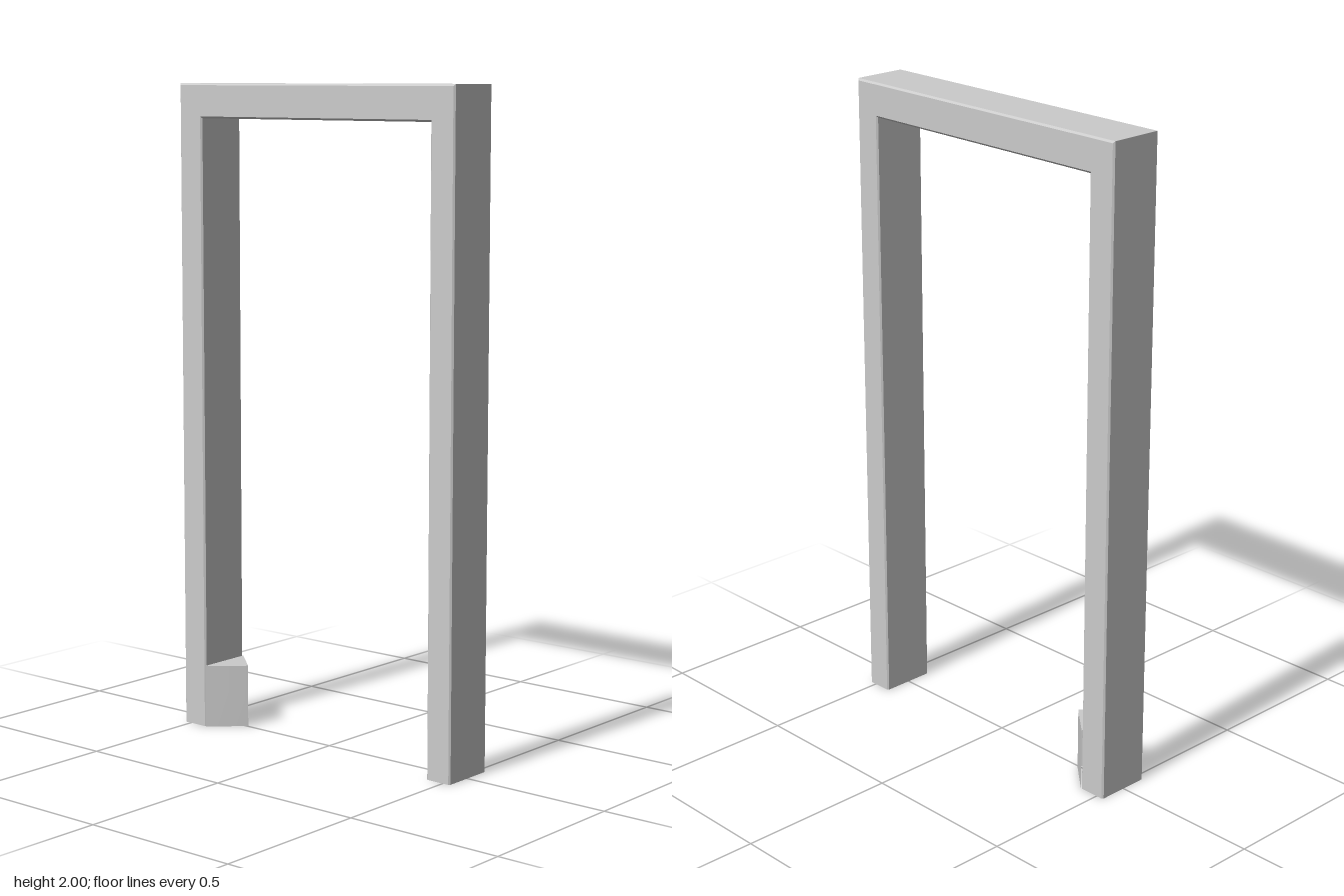
import * as THREE from 'three';
import { toCreasedNormals } from 'three/addons/utils/BufferGeometryUtils.js';

const material = new THREE.MeshStandardMaterial({ color: 0xcccccc, side: THREE.DoubleSide });

// Skins a list of equal-length cross-sections; the ends stay open.
function loft(name, rings, closed, crease) {
  const positions = [];
  const count = rings[0].length;
  for (let s = 0; s < rings.length - 1; s++) {
    for (let i = 0; i < (closed ? count : count - 1); i++) {
      const j = (i + 1) % count;
      const a = rings[s][i], b = rings[s][j], c = rings[s + 1][j], d = rings[s + 1][i];
      positions.push(...a, ...b, ...c);
      if (c.some((v, k) => v !== d[k])) positions.push(...a, ...c, ...d);
    }
  }
  const geometry = new THREE.BufferGeometry();
  geometry.setAttribute('position', new THREE.Float32BufferAttribute(positions, 3));
  const mesh = new THREE.Mesh(toCreasedNormals(geometry, crease), material);
  mesh.name = name;
  return mesh;
}

export function createModel() {
  const group = new THREE.Group();
  group.name = 'doorFrame';
  const back = -0.09, front = 0.085, bevel = 0.005;

  // Hollow post-beam-post casing, mitred at the top corners: [outer x, outer y, inner x, inner y]
  const stations = [
    [-0.525, 0, -0.435, 0],
    [-0.525, 2, -0.435, 1.895],
    [0.525, 2, 0.44, 1.895],
    [0.525, 0, 0.44, 0],
  ];
  // Bevelled section: [fraction from outer to inner, z]
  const t = 0.055;
  const section = [
    [0, back + bevel], [0, front - bevel], [t, front], [1 - t, front],
    [1, front - bevel], [1, back + bevel], [1 - t, back], [t, back],
  ];
  const frameRings = stations.map(([ox, oy, ix, iy]) =>
    section.map(([u, z]) => [ox + (ix - ox) * u, oy + (iy - oy) * u, z]));
  group.add(loft('frame', frameRings, true, 0.4));

  // Wedge-shaped foot block against the inside of the right post, open underneath
  const profile = [
    [-0.435, front], [-0.341, 0.004], [-0.335, -0.002], [-0.341, -0.008], [-0.435, back],
  ];
  const height = 0.195;
  const footRings = [
    profile.map(([x, z]) => [x, 0, z]),
    profile.map(([x, z]) => [x, height, z]),
    profile.map(() => [-0.435, height, -0.002]),
  ];
  group.add(loft('footBlock', footRings, false, 1));

  return group;
}
